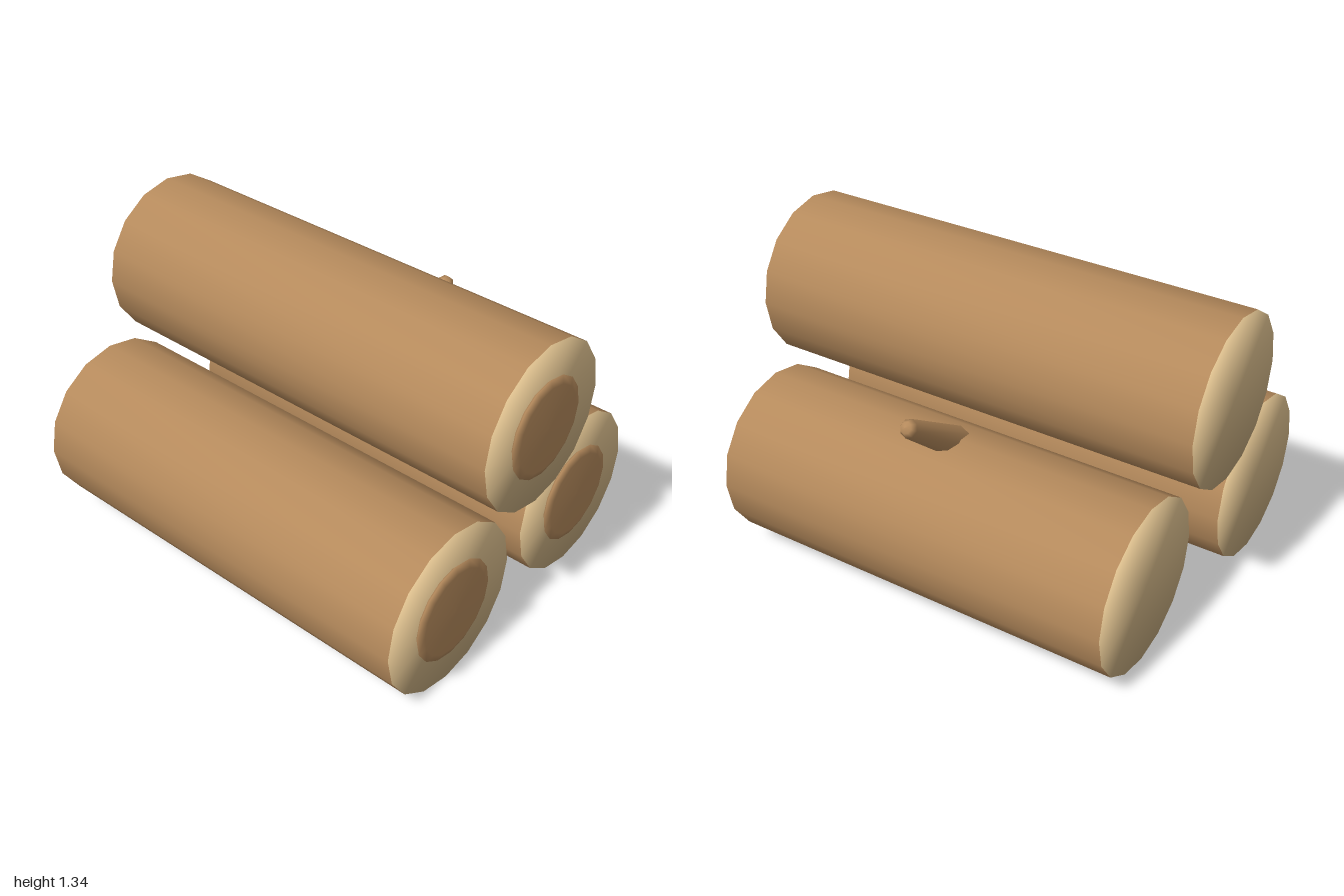
import * as THREE from 'three';
import { mergeVertices } from 'three/addons/utils/BufferGeometryUtils.js';

const bark = new THREE.MeshStandardMaterial({ color: 0xb58a5c });
bark.name = 'bark brown';
const cutWood = new THREE.MeshStandardMaterial({ color: 0xdabd8c });
cutWood.name = 'cut wood cream';

const SIDES = 16;

// Log barrel along z, with soft normals running over onto the cut ends
function logGeometry(radius, length) {
  const g = new THREE.CylinderGeometry(radius, radius, length, SIDES);
  g.deleteAttribute('normal');
  g.deleteAttribute('uv');
  const merged = mergeVertices(g, 1e-4);
  merged.computeVertexNormals();
  return merged.rotateX(Math.PI / 2);
}

// Raised heartwood disc with a bevelled edge, facing +z
function heartGeometry(radius) {
  const profile = [
    [0.92 * radius, 0], [radius, 0.014], [0.85 * radius, 0.026], [0, 0.028],
  ].map(([r, y]) => new THREE.Vector2(r, y));
  return new THREE.LatheGeometry(profile, SIDES).rotateX(Math.PI / 2);
}

function createLog({ name, x, y, radius, back, front }) {
  const log = new THREE.Group();
  log.name = name;
  log.position.set(x, y, 0);

  const barrel = new THREE.Mesh(logGeometry(radius, front - back), [bark, cutWood, cutWood]);
  barrel.name = name + 'Barrel';
  barrel.position.z = (front + back) / 2;

  const heart = new THREE.Mesh(heartGeometry(radius * 0.6), bark);
  heart.name = name + 'Heartwood';
  heart.position.z = front + 0.002;

  log.add(barrel, heart);
  return log;
}

// Tapered twig stub with a rounded tip, leaning outwards
function createTwig() {
  const profile = [[0.065, 0], [0.038, 0.38], [0.024, 0.402], [0, 0.408]]
    .map(([r, y]) => new THREE.Vector2(r, y));
  const twig = new THREE.Mesh(new THREE.LatheGeometry(profile, 8), bark);
  twig.name = 'twigStub';
  twig.position.set(0.395, 0.675, -0.012);
  twig.rotation.z = -THREE.MathUtils.degToRad(52.7);
  return twig;
}

export function createModel() {
  const model = new THREE.Group();
  model.name = 'logPile';
  const logs = [
    { name: 'rightLog', x: -0.44, y: 0.365, radius: 0.362, back: -0.95, front: 0.92 },
    { name: 'leftLog', x: 0.44, y: 0.365, radius: 0.362, back: -0.9, front: 0.87 },
    { name: 'topLog', x: 0, y: 0.99, radius: 0.352, back: -1, front: 0.97 },
  ];
  for (const spec of logs) model.add(createLog(spec));
  model.add(createTwig());
  return model;
}
